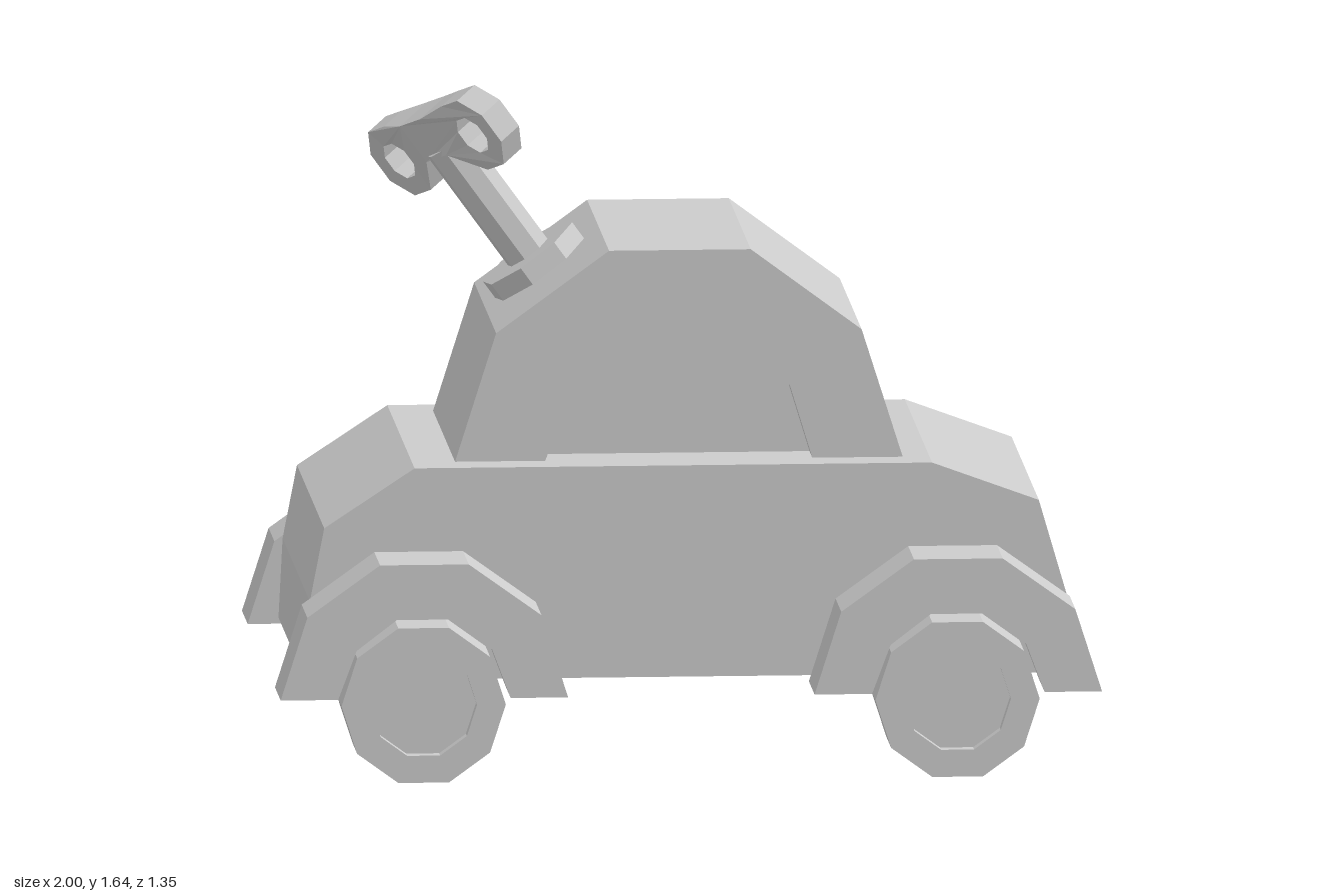
import * as THREE from 'three';

const material = new THREE.MeshStandardMaterial({ color: 0xcccccc, flatShading: true });

function add(parent, geometry, name) {
  const mesh = new THREE.Mesh(geometry, material);
  mesh.name = name;
  parent.add(mesh);
  return mesh;
}

const toShape = (pts) => new THREE.Shape(pts.map(([x, y]) => new THREE.Vector2(x, y)));

// Flat slab of a profile between two depths
function slab(shape, z0, z1) {
  const g = new THREE.ExtrudeGeometry(shape, { depth: z1 - z0, bevelEnabled: false });
  return g.translate(0, 0, z0);
}

// Arch outline: outer points one way, inner points back
const arch = (outer, inner) => toShape([...outer, ...[...inner].reverse()]);

export function createModel() {
  const car = new THREE.Group();
  car.name = 'windUpCar';

  // Lower body
  const bodyProfile = [
    [-0.925, 0.225], [0.945, 0.225], [0.93, 0.41], [0.86, 0.65],
    [0.6, 0.745], [-0.66, 0.745], [-0.88, 0.6], [-0.915, 0.42],
  ];
  add(car, slab(toShape(bodyProfile), -0.475, 0.475), 'body');

  // Cabin: a solid core with an arched frame on each side around a recessed window
  const cabinProfile = [
    [-0.555, 0.745], [-0.455, 1.06], [-0.18, 1.26],
    [0.165, 1.26], [0.435, 1.06], [0.535, 0.745],
  ];
  const windowProfile = [
    [-0.335, 0.745], [-0.275, 0.925], [-0.11, 1.045],
    [0.1, 1.045], [0.26, 0.925], [0.315, 0.745],
  ];
  const cabin = new THREE.Group();
  cabin.name = 'cabin';
  car.add(cabin);
  add(cabin, slab(toShape(cabinProfile), -0.283, 0.283), 'cabinCore');
  const frame = arch(cabinProfile, windowProfile);
  add(cabin, slab(frame, 0.283, 0.383), 'leftWindowFrame');
  add(cabin, slab(frame, -0.383, -0.283), 'rightWindowFrame');

  // Fenders and wheels at the four corners
  const fenderOuter = [[-0.35, 0.21], [-0.285, 0.413], [-0.108, 0.54], [0.108, 0.54], [0.285, 0.413], [0.35, 0.21]];
  const fenderInner = [[-0.21, 0.21], [-0.165, 0.33], [-0.067, 0.405], [0.067, 0.405], [0.165, 0.33], [0.21, 0.21]];
  const fenderShape = arch(fenderOuter, fenderInner);

  const half = 0.0825;
  const wheelProfile = [
    [0, -half], [0.2, -half], [0.2, half], [0.13, half], [0.13, half - 0.035], [0, half - 0.035],
  ].map(([r, y]) => new THREE.Vector2(r, y));
  const wheelGeometry = new THREE.LatheGeometry(wheelProfile, 10).rotateY(Math.PI / 10).rotateX(Math.PI / 2);

  for (const x of [-0.65, 0.65]) {
    for (const side of [1, -1]) {
      const corner = new THREE.Group();
      corner.name = 'wheelCorner';
      corner.position.x = x;
      if (side < 0) corner.rotation.y = Math.PI;
      car.add(corner);
      add(corner, slab(fenderShape, 0.475, 0.675), 'fender');
      add(corner, wheelGeometry, 'wheel').position.set(0, 0.19, 0.5675);
    }
  }

  // Wind-up key, standing square on the sloping end of the roof
  const key = new THREE.Group();
  key.name = 'windUpKey';
  const axis = new THREE.Vector3(-0.588, 0.809, 0).normalize();
  const across = new THREE.Vector3(0.155, 0.113, 0.315).normalize();
  const normal = new THREE.Vector3().crossVectors(across, axis).normalize();
  key.quaternion.setFromRotationMatrix(new THREE.Matrix4().makeBasis(across, axis, normal));
  key.position.set(-0.325, 1.16, 0);
  car.add(key);

  add(key, new THREE.CylinderGeometry(0.135, 0.135, 0.07, 8), 'keyWasher').position.y = 0.01;
  add(key, new THREE.CylinderGeometry(0.06, 0.06, 0.38, 8), 'keyRod').position.y = 0.19;

  // Key handle: two octagonal eyes joined by a neck, arched underneath
  const eyeX = 0.185;
  const octagon = (cx, r, first, count) => Array.from({ length: count }, (_, i) => {
    const a = (first + 45 * i) * Math.PI / 180;
    return [cx + r * Math.cos(a), r * Math.sin(a)];
  });
  const handle = toShape([
    [-0.05, -0.02], [0.05, -0.02],
    ...octagon(eyeX, 0.105, -112.5, 6),
    [0.05, 0.09], [-0.05, 0.09],
    ...octagon(-eyeX, 0.105, 67.5, 6),
  ]);
  for (const cx of [-eyeX, eyeX]) {
    handle.holes.push(new THREE.Path(octagon(cx, 0.053, 22.5, 8).map(([x, y]) => new THREE.Vector2(x, y))));
  }
  const handleGeometry = slab(handle, -0.033, 0.033);
  // Thicken the neck where it meets the rod
  const p = handleGeometry.attributes.position;
  for (let i = 0; i < p.count; i++) {
    if (Math.abs(p.getX(i)) < 0.06) p.setZ(i, p.getZ(i) * 1.5);
  }
  handleGeometry.computeVertexNormals();
  add(key, handleGeometry, 'keyHandle').position.y = 0.388;

  return car;
}
